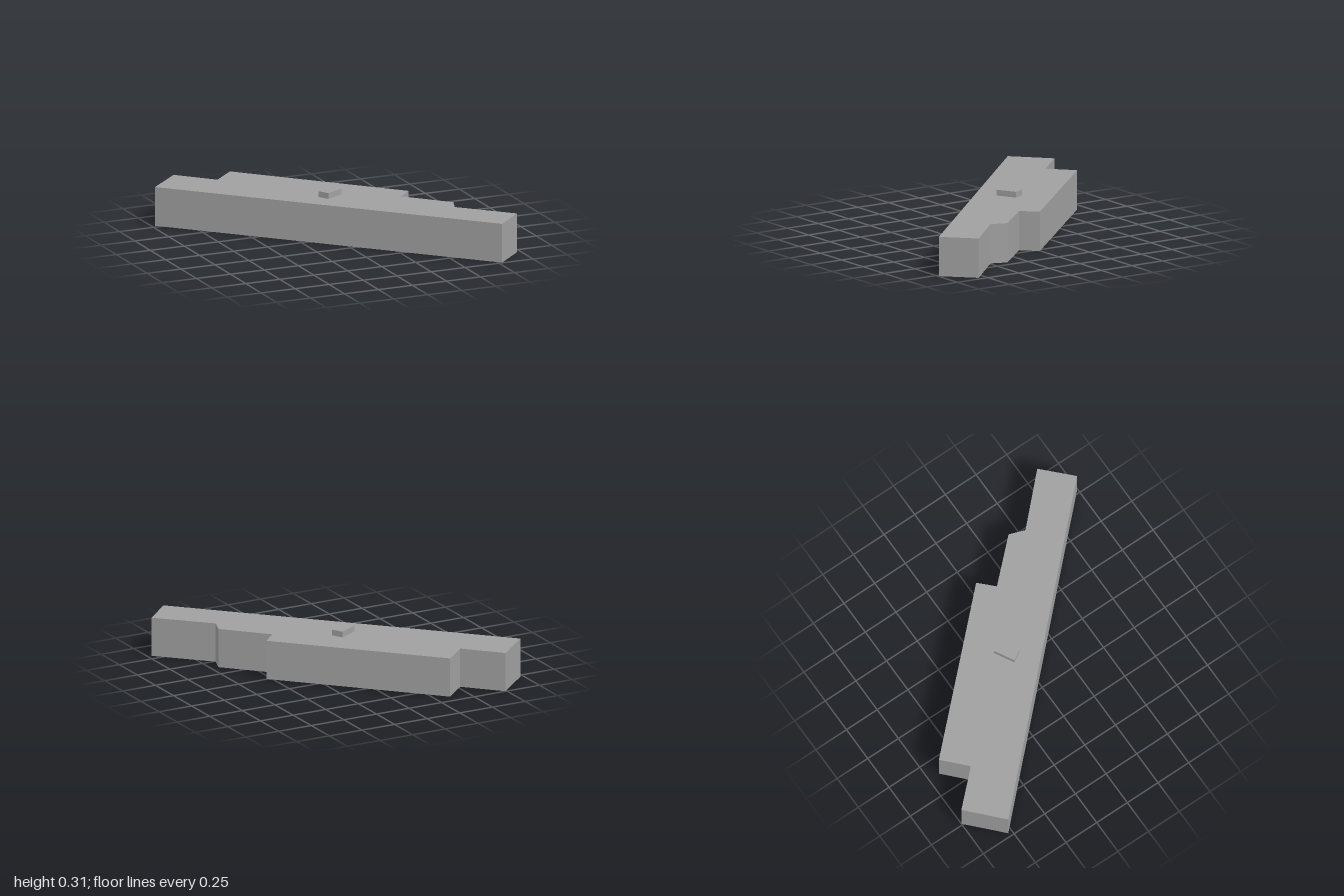
import * as THREE from 'three';

const grey = new THREE.MeshStandardMaterial({ color: 0xa0a0a0, side: THREE.DoubleSide });
grey.name = 'grey';

// Outlines as [x, z], clockwise seen from above
const hallOutline = [
  [-0.975, -0.78], [-0.74, -1], [-0.52, -0.77], [-0.36, -0.92], [0.535, 0.005],
  [0.435, 0.105], [0.695, 0.38], [0.655, 0.49], [0.97, 0.805], [0.775, 0.995],
];
const roofBoxOutline = [[-0.077, -0.108], [0.055, -0.182], [0.094, -0.108], [-0.036, -0.038]];

// Flat roof with vertical walls, open underneath
function openBlock(name, outline, y0, y1) {
  const block = new THREE.Group();
  block.name = name;

  const shape = new THREE.Shape(outline.map(([x, z]) => new THREE.Vector2(x, -z)));
  const roof = new THREE.Mesh(new THREE.ShapeGeometry(shape).rotateX(-Math.PI / 2), grey);
  roof.name = name + 'Roof';
  roof.position.y = y1;

  // Two unshared triangles per wall keep the corners sharp
  const positions = [];
  outline.forEach(([ax, az], i) => {
    const [bx, bz] = outline[(i + 1) % outline.length];
    positions.push(bx, y0, bz, ax, y0, az, ax, y1, az);
    positions.push(bx, y0, bz, ax, y1, az, bx, y1, bz);
  });
  const geometry = new THREE.BufferGeometry();
  geometry.setAttribute('position', new THREE.Float32BufferAttribute(positions, 3));
  geometry.computeVertexNormals();
  const walls = new THREE.Mesh(geometry, grey);
  walls.name = name + 'Walls';

  block.add(roof, walls);
  return block;
}

export function createModel() {
  const model = new THREE.Group();
  model.name = 'building';
  model.add(openBlock('mainHall', hallOutline, 0, 0.27));
  model.add(openBlock('roofBox', roofBoxOutline, 0.27, 0.31));
  return model;
}
